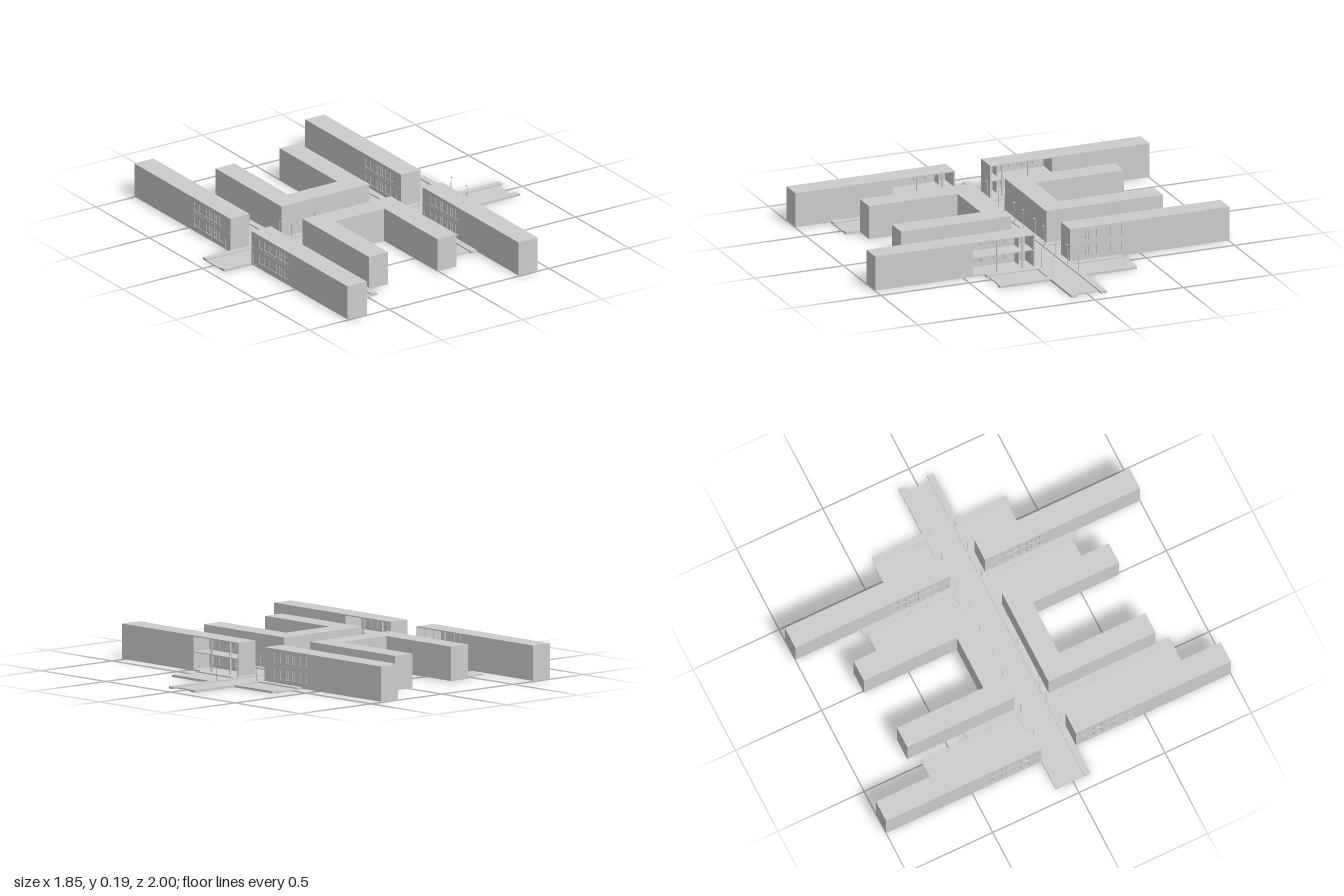
import * as THREE from 'three';

const material = new THREE.MeshStandardMaterial({ color: 0xcccccc, flatShading: true, side: THREE.DoubleSide });

export function createModel() {
  const model = new THREE.Group();

  // Box given by its min and max on every axis
  function block(name, x0, x1, y0, y1, z0, z1, parent = model) {
    const mesh = new THREE.Mesh(new THREE.BoxGeometry(x1 - x0, y1 - y0, z1 - z0), material);
    mesh.position.set((x0 + x1) / 2, (y0 + y1) / 2, (z0 + z1) / 2);
    mesh.name = name;
    parent.add(mesh);
    return mesh;
  }

  const ROAD = 0.006, WALK = 0.012, TOP = 0.19, MID_TOP = 0.185;

  // Main street with raised sidewalks
  block('mainRoad', -0.93, 0.89, 0, ROAD, -0.065, 0.065);
  for (const s of [-1, 1]) {
    const z = [s * 0.065, s * 0.1].sort((a, b) => a - b);
    block('mainSidewalk', -0.93, 0.92, 0, WALK, ...z);
  }

  // Side streets: x range, road ends, sidewalk ends (back, front)
  const sideStreets = [
    { x: [-0.64, -0.44], road: [-0.66, 0.8], walk: [-0.39, 0.8] },
    { x: [0.11, 0.31], road: [-0.6, 0.59], walk: [-0.62, 0.61] },
    { x: [0.43, 0.64], road: [-0.4, 0.375], walk: [-0.39, 0.385] },
  ];
  for (const { x, road, walk } of sideStreets) {
    for (const i of [0, 1]) {
      const s = i ? 1 : -1;
      const span = (end) => (s < 0 ? [end, -0.1] : [0.1, end]);
      block('sideRoad', x[0] + 0.036, x[1] - 0.036, 0, ROAD, ...span(road[i]));
      block('sideSidewalk', x[0], x[0] + 0.036, 0, WALK, ...span(walk[i]));
      block('sideSidewalk', x[1] - 0.036, x[1], 0, WALK, ...span(walk[i]));
    }
  }

  // U-shaped central buildings on both sides of the street
  for (const s of [-1, 1]) {
    const plan = new THREE.Shape();
    const outer = s < 0 ? 0.76 : 0.72;
    [[-0.44, 0.1], [0.11, 0.1], [0.11, outer], [-0.01, outer], [-0.01, 0.22], [-0.32, 0.22], [-0.32, 0.72], [-0.44, 0.72]]
      .forEach(([x, z], i) => (i ? plan.lineTo(x, -s * z) : plan.moveTo(x, -s * z)));
    const geometry = new THREE.ExtrudeGeometry(plan, { depth: MID_TOP - 0.004, bevelEnabled: false });
    geometry.rotateX(-Math.PI / 2);
    const mesh = new THREE.Mesh(geometry, material);
    mesh.position.y = 0.004;
    mesh.name = 'courtyardBuilding';
    model.add(mesh);
  }

  // Rectangle as a closed outline
  function rectangle(target, a, b, y0, y1) {
    target.moveTo(a, y0).lineTo(b, y0).lineTo(b, y1).lineTo(a, y1).closePath();
    return target;
  }

  // Two-storey wall with six windows per floor and a corner doorway
  function windowWall(x, s, parent) {
    const wall = rectangle(new THREE.Shape(), s * 0.1, s * 0.45, 0.004, TOP - 0.006);
    const openings = [[0.115, 0.145, 0.012, 0.065]];
    for (let i = 0; i < 6; i++) {
      const a = 0.175 + i * 0.046;
      openings.push([a, a + 0.03, 0.035, 0.085], [a, a + 0.03, 0.122, 0.17]);
    }
    for (const [a, b, y0, y1] of openings) {
      wall.holes.push(rectangle(new THREE.Path(), s * a, s * b, y0, y1));
    }
    const geometry = new THREE.ExtrudeGeometry(wall, { depth: 0.006, bevelEnabled: false });
    geometry.rotateY(-Math.PI / 2);
    const mesh = new THREE.Mesh(geometry, material);
    mesh.position.x = x + 0.003;
    mesh.name = 'windowWall';
    parent.add(mesh);
    // Recessed panes, crossbars and sills
    openings.forEach(([a, b, y0, y1], i) => {
      const [z0, z1] = s < 0 ? [-b, -a] : [a, b];
      block(i ? 'windowPane' : 'doorLeaf', x - 0.0005, x + 0.0005, y0, y1, z0, z1, parent);
      if (!i) return;
      const ym = y0 + (y1 - y0) * 0.6, zm = (z0 + z1) / 2;
      block('windowCrossbar', x - 0.002, x + 0.002, ym - 0.001, ym + 0.001, z0, z1, parent);
      block('windowMullion', x - 0.002, x + 0.002, y0, y1, zm - 0.001, zm + 0.001, parent);
      block('windowSill', x - 0.005, x + 0.005, y0 - 0.003, y0, z0 - 0.002, z1 + 0.002, parent);
    });
    block('floorBand', x - 0.0045, x + 0.0045, 0.102, 0.107, ...(s < 0 ? [-0.45, -0.1] : [0.1, 0.45]), parent);
  }

  // Long row buildings: solid outer part and hollow street-end house
  for (const [x0, x1, closed] of [[-0.76, -0.64, 0], [0.31, 0.43, -1]]) {
    for (const s of [-1, 1]) {
      const span = (a, b) => (s < 0 ? [-b, -a] : [a, b]);
      block('rowBuilding', x0, x1, 0.004, TOP, ...span(0.45, 1));
      const house = new THREE.Group();
      house.name = 'streetHouse';
      model.add(house);
      block('houseFloor', x0, x1, 0.004, 0.012, ...span(0.1, 0.45), house);
      block('houseUpperFloor', x0 + 0.006, x1 - 0.006, 0.1, 0.104, ...span(0.1, 0.45), house);
      block('houseRoof', x0, x1, TOP - 0.006, TOP, ...span(0.1, 0.45), house);
      block('houseEndWall', x0, x1, 0.004, TOP - 0.006, ...span(0.1, 0.106), house);
      block('houseInnerWall', x0, x0 + 0.06, 0.012, TOP - 0.006, ...span(0.162, 0.166), house);
      windowWall(x0 + 0.003, s, house);
      if (closed === s) {
        windowWall(x1 - 0.003, s, house);
      } else {
        // Slim posts along the open side
        for (const z of [0.165, 0.31]) {
          block('housePost', x1 - 0.008, x1, 0.012, TOP - 0.006, ...span(z, z + 0.006), house);
        }
      }
    }
  }

  // Street lamps along both sidewalks
  const pole = new THREE.CylinderGeometry(0.0013, 0.002, 0.108, 6);
  for (const x of [-0.615, -0.47, -0.39, -0.25, -0.13, 0.02, 0.145, 0.3, 0.46, 0.605]) {
    for (const s of [-1, 1]) {
      const lamp = new THREE.Group();
      lamp.name = 'streetLamp';
      const post = new THREE.Mesh(pole, material);
      post.name = 'lampPost';
      post.position.set(x, 0.066, s * 0.075);
      lamp.add(post);
      const z = s * 0.069;
      block('lampHead', x - 0.002, x + 0.002, 0.118, 0.121, z - 0.008, z + 0.008, lamp);
      model.add(lamp);
    }
  }

  return model;
}
